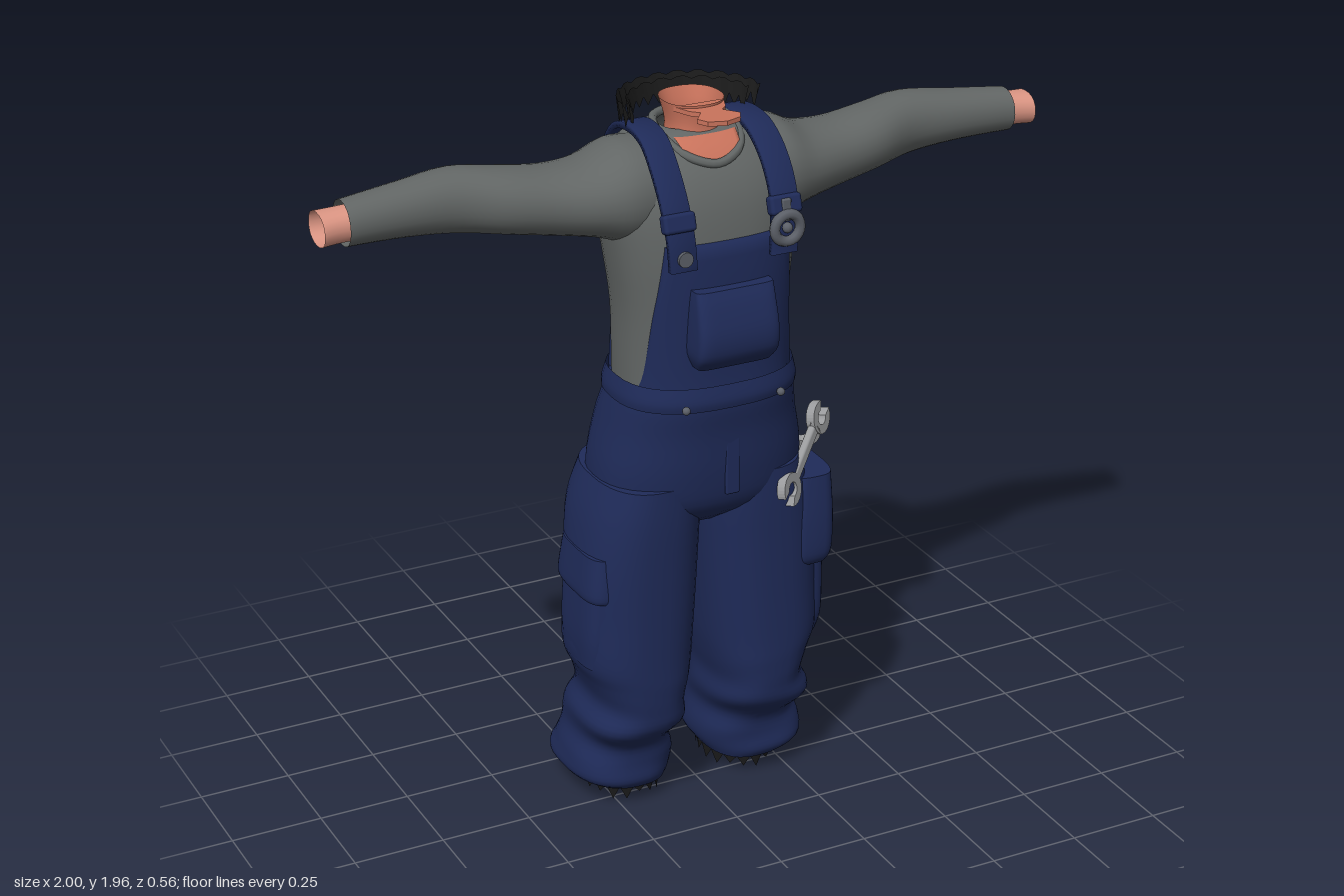
import * as THREE from 'three';
import { RoundedBoxGeometry } from 'three/addons/geometries/RoundedBoxGeometry.js';

const mat = (name, color) => {
  const m = new THREE.MeshStandardMaterial({ color, side: THREE.DoubleSide });
  m.name = name;
  return m;
};

export function createModel() {
  const root = new THREE.Group();
  const navy = mat('navy denim', 0x1f2b59), shirt = mat('grey shirt', 0x626665), skin = mat('skin', 0xdb9583),
    neckSkin = mat('neck skin', 0xc9735c), black = mat('black', 0x1b1b1b), steel = mat('steel', 0x9a9b9d),
    metal = mat('dull metal', 0x5c6068);

  const add = (name, geo, material, parent = root, pos = [0, 0, 0]) => {
    const m = new THREE.Mesh(geo, material);
    m.name = name;
    m.position.set(...pos);
    parent.add(m);
    return m;
  };
  let seed = 7;
  const rnd = () => (seed = (seed * 16807) % 2147483647) / 2147483647;
  const sgnPow = (v, e) => Math.sign(v) * Math.abs(v) ** e;

  // Catmull-Rom smoothing of cross-section rows
  const smooth = (rows, k = 4) => {
    const out = [], at = i => rows[Math.min(rows.length - 1, Math.max(0, i))];
    for (let i = 0; i < rows.length - 1; i++) for (let j = 0; j < k; j++) {
      const t = j / k;
      out.push(rows[0].map((_, c) => {
        const [p, a, b, q] = [at(i - 1)[c], at(i)[c], at(i + 1)[c], at(i + 2)[c]];
        return a + 0.5 * t * (b - p + t * (2 * p - 5 * a + 4 * b - q + t * (3 * (a - b) + q - p)));
      }));
    }
    out.push(at(rows.length - 1));
    return out;
  };

  // Skin a list of point loops (or open rows)
  const surface = (rings, closed = true) => {
    const n = rings[0].length, idx = [];
    for (let j = 0; j < rings.length - 1; j++) for (let i = 0; i < (closed ? n : n - 1); i++) {
      const a = j * n + i, b = j * n + (i + 1) % n;
      idx.push(a, a + n, b, b, a + n, b + n);
    }
    const g = new THREE.BufferGeometry();
    g.setAttribute('position', new THREE.Float32BufferAttribute(rings.flat(2), 3));
    g.setIndex(idx);
    g.computeVertexNormals();
    return g;
  };

  // Loft of superellipse sections; row = [position along axis, min1, max1, zBack, zFront]
  const loft = (rows, { axis = 'y', n = 2.3, segs = 40, cap = false, fold = () => 0 } = {}) => {
    const ring = (r, k = 1) => Array.from({ length: segs }, (_, i) => {
      const a = i / segs * Math.PI * 2, f = k * (1 + fold(a, r[0]));
      const [ca, sa] = axis === 'y' ? [Math.cos(a), Math.sin(a)] : [Math.sin(a), Math.cos(a)];
      const u = (r[1] + r[2]) / 2 + (r[2] - r[1]) / 2 * f * sgnPow(ca, 2 / n);
      const z = (r[3] + r[4]) / 2 + (r[4] - r[3]) / 2 * f * sgnPow(sa, 2 / n);
      return axis === 'y' ? [u, r[0], z] : [r[0], u, z];
    });
    const rings = smooth(rows).map(r => ring(r));
    if (cap) {
      const a = rows[0], b = rows[rows.length - 1];
      rings.unshift(ring(a, 0.01), ring(a));
      rings.push(ring(b), ring(b, 0.01));
    }
    return surface(rings);
  };

  // Shirt body
  const torso = [[1.2, -.23, .23, -.14, .19], [1.3, -.23, .23, -.14, .185], [1.45, -.232, .232, -.145, .19],
    [1.6, -.25, .25, -.16, .19], [1.72, -.265, .265, -.175, .175], [1.8, -.25, .25, -.175, .145],
    [1.86, -.2, .2, -.155, .1], [1.892, -.13, .13, -.13, .06], [1.9, -.085, .085, -.11, .04]];
  add('shirtBody', loft(torso, { n: 2.5 }), shirt);
  const fine = smooth(torso);
  const bodyZ = (x, y, side) => {
    let i = 0;
    while (i < fine.length - 2 && fine[i + 1][0] < y) i++;
    const t = THREE.MathUtils.clamp((y - fine[i][0]) / (fine[i + 1][0] - fine[i][0]), 0, 1);
    const r = fine[i].map((v, c) => THREE.MathUtils.lerp(v, fine[i + 1][c], t));
    const h = Math.max(0, 1 - Math.abs(x / r[2]) ** 2.5) ** 0.4;
    return (r[3] + r[4]) / 2 + side * h * (r[4] - r[3]) / 2;
  };

  // Cloth panel lying on the body; row = [y, xMin, xMax], edges tucked inwards
  const panel = (rows, side, off = 0.018) => {
    const us = [0, 0, ...Array.from({ length: 15 }, (_, i) => (i + 1) / 16), 1, 1], R = smooth(rows);
    R.push(R[R.length - 1]);
    return surface(R.map(([y, a, b], j) => us.map((u, i) => {
      const x = a + (b - a) * u, edge = i === 0 || i === us.length - 1 || j === R.length - 1;
      return [x, y, bodyZ(x, y, side) + side * (edge ? -0.005 : off)];
    })), false);
  };
  add('bib', panel([[1.22, -.225, .225], [1.3, -.205, .205], [1.45, -.19, .19], [1.65, -.165, .175]], 1), navy);
  add('neckline', panel([[1.832, -.03, .03], [1.85, -.07, .07], [1.89, -.085, .085]], 1, 0.006), neckSkin);
  add('collar', new THREE.TubeGeometry(new THREE.CatmullRomCurve3([[0, 1.832, .125], [.075, 1.855, .095],
    [.105, 1.895, .0], [.07, 1.905, -.09], [0, 1.905, -.115], [-.07, 1.905, -.09], [-.105, 1.895, 0],
    [-.075, 1.855, .095]].map(p => new THREE.Vector3(...p)), true), 48, .012, 8, true), shirt);

  // Trousers: hips, waistband and fly
  add('hips', loft([[.83, -.16, .16, -.12, .08], [.9, -.275, .275, -.205, .165], [1, -.287, .287, -.215, .19],
    [1.12, -.265, .265, -.205, .2], [1.2, -.248, .248, -.178, .212], [1.25, -.235, .235, -.16, .21]],
    { n: 2.4, cap: true }), navy);
  add('waistband', loft([[1.205, -.25, .25, -.18, .216], [1.23, -.25, .25, -.178, .22], [1.27, -.24, .24, -.165, .212]],
    { n: 2.5 }), navy);
  add('flyFlap', new RoundedBoxGeometry(.04, .24, .012, 2, .005), navy, root, [.01, 1.07, .192]);

  // Torn strip along an arc
  const fringe = (cx, cz, rx, rz, a0, a1, n, y0, y1, drop) => {
    const top = [], low = [];
    for (let i = 0; i <= n; i++) {
      const a = a0 + (a1 - a0) * i / n, d = i % 2 ? drop * (.5 + rnd()) : 0;
      top.push([cx + rx * Math.cos(a), y0 + (i % 3 ? 0 : -.008), cz + rz * Math.sin(a)]);
      low.push([cx + rx * .95 * Math.cos(a), y1 - d, cz + rz * .95 * Math.sin(a)]);
    }
    return surface([low, top], false);
  };

  const strapPath = [[.14, 1.6, .212], [.145, 1.68, .208], [.15, 1.76, .185], [.15, 1.84, .13], [.145, 1.893, .06],
    [.14, 1.905, -.03], [.135, 1.88, -.12], [.13, 1.8, -.188], [.115, 1.68, -.195], [.1, 1.58, -.18]];
  for (const s of [1, -1]) {
    const side = new THREE.Group();
    side.name = s > 0 ? 'leftSide' : 'rightSide';
    side.scale.x = s;
    root.add(side);

    // Sleeve and hollow wrist
    add('sleeve', loft([[.14, 1.62, 1.885, -.16, .13], [.22, 1.625, 1.885, -.165, .135], [.3, 1.65, 1.85, -.155, .115],
      [.4, 1.667, 1.842, -.14, .085], [.52, 1.685, 1.855, -.14, .06], [.64, 1.7, 1.866, -.145, .02],
      [.78, 1.715, 1.852, -.125, .015], [.935, 1.722, 1.838, -.1, .02]], { axis: 'x', n: 2.1, segs: 28 }), shirt, side);
    add('wrist', loft([[.88, 1.735, 1.825, -.09, .012], [.95, 1.735, 1.822, -.09, .012], [1, 1.732, 1.82, -.095, .018]],
      { axis: 'x', n: 2.2, segs: 20 }), skin, side);

    // Trouser leg with bunched hem
    const leg = new THREE.Group();
    leg.name = 'leg';
    leg.position.x = s > 0 ? -.008 : .015;
    side.add(leg);
    add('trouserLeg', loft([[.06, .065, .3, -.22, .06], [.09, .05, .343, -.275, .08], [.14, .048, .335, -.265, .08],
      [.2, .058, .315, -.245, .085], [.27, .045, .325, -.225, .155], [.33, .048, .298, -.205, .162], [.4, .035, .315, -.198, .168],
      [.47, .025, .342, -.195, .168], [.6, .015, .34, -.192, .168], [.75, .006, .335, -.195, .17], [.88, 0, .315, -.215, .172],
      [.98, .01, .28, -.2, .17]], { n: 2.5, cap: true,
      fold: (a, y) => y < .4 ? .018 * Math.sin(3 * a + y * 45) * Math.min(1, (.4 - y) * 8) : 0 }), navy, leg);
    add('hemTatter', fringe(.175, -.085, .108, .135, 0, Math.PI * 2, 36, .075, .05, .028), black, leg);

    // Back panel half with V notch
    add('backPanel', panel([[1.22, 0, .215], [1.3, 0, .2], [1.45, 0, .175], [1.58, 0, .165], [1.66, .03, .165],
      [1.75, .07, .17], [1.83, .1, .17]], -1), navy, side);

    // Shoulder strap with slide loops
    const pts = strapPath.map(p => new THREE.Vector3(...p));
    const curve = new THREE.CatmullRomCurve3(pts), rings = [];
    for (let i = 0; i <= 40; i++) {
      const p = curve.getPoint(i / 40), t = curve.getTangent(i / 40), l = Math.hypot(t.y, t.z);
      const ny = -t.z / l * .009, nz = t.y / l * .009;
      rings.push([[-.036, 1], [.036, 1], [.036, -1], [-.036, -1]].map(([x, k]) => [p.x + x, p.y + k * ny, p.z + k * nz]));
    }
    add('strap', surface(rings), navy, side);
    add('frontLoop', new RoundedBoxGeometry(.088, .05, .035, 2, .01), navy, side, [.148, 1.725, .2]).rotation.x = -.3;
    add('backLoop', new RoundedBoxGeometry(.095, .07, .035, 2, .012), navy, side, [.12, 1.7, -.2]);
    add('waistButton', new THREE.SphereGeometry(.011, 10, 8), metal, side, [.135, 1.222, .218]);
  }

  // Strap fasteners: large ring on the left, small button on the right
  const ring = new THREE.Group();
  ring.name = 'strapBuckle';
  ring.position.set(.145, 1.67, .224);
  root.add(ring);
  add('buckleRing', new THREE.TorusGeometry(.036, .014, 8, 24), metal, ring);
  add('buckleStud', new THREE.SphereGeometry(.014, 10, 8), metal, ring);
  add('buckleTab', new RoundedBoxGeometry(.025, .06, .012, 2, .004), metal, ring, [0, .045, -.008]);
  add('strapButton', new THREE.CylinderGeometry(.02, .02, .015, 16), metal, root, [-.14, 1.635, .222]).rotation.x = Math.PI / 2;

  // Pockets
  add('bibPocket', loft([[1.33, -.105, .1, .17, .235], [1.37, -.12, .108, .16, .272], [1.43, -.12, .108, .16, .278],
    [1.5, -.116, .106, .16, .258], [1.54, -.112, .106, .17, .238]], { n: 6, cap: true }), navy);
  add('thighPocket', loft([[.665, .2, .342, -.165, .15], [.7, .2, .352, -.17, .165], [.8, .2, .356, -.165, .163],
    [.92, .22, .35, -.14, .15]], { n: 3.6, cap: true }), navy);
  add('thighPouch', loft([[.43, .2, .334, -.12, .1], [.5, .2, .344, -.13, .12], [.67, .2, .345, -.13, .12]],
    { n: 3.5, cap: true }), navy);
  add('rightPocketFlap', loft([[.665, -.358, -.22, -.13, .12], [.69, -.362, -.22, -.135, .125], [.79, -.35, -.22, -.12, .115]],
    { n: 3.6, cap: true }), navy);
  add('rightPouch', loft([[.46, -.355, -.22, -.11, .1], [.55, -.36, -.22, -.12, .11], [.68, -.353, -.22, -.12, .11]],
    { n: 3.5, cap: true }), navy);
  add('rearTab', new RoundedBoxGeometry(.02, .045, .012, 2, .004), black, root, [-.15, .97, -.213]);
  add('rearRivet', new THREE.SphereGeometry(.018, 10, 8), steel, root, [.2, .95, -.185]);

  // Open-ended spanners
  const spanner = (name, from, to, heads) => {
    const g = new THREE.Group(), a = new THREE.Vector3(...from), b = new THREE.Vector3(...to), L = a.distanceTo(b);
    g.name = name;
    g.position.copy(a).lerp(b, .5);
    g.quaternion.setFromUnitVectors(new THREE.Vector3(1, 0, 0), b.clone().sub(a).normalize());
    root.add(g);
    add('shank', new RoundedBoxGeometry(L - .04, .032, .022, 2, .008), steel, g);
    const jaw = new THREE.Shape();
    jaw.absarc(0, 0, .045, .55, Math.PI * 2 - .55);
    jaw.absarc(0, 0, .02, Math.PI * 2 - .9, .9, true);
    const geo = new THREE.ExtrudeGeometry(jaw, { depth: .024, bevelEnabled: false, curveSegments: 14 }).translate(0, 0, -.012);
    for (const k of heads) add('jaw', geo, steel, g, [k * L / 2, 0, 0]).rotation.z = k > 0 ? .25 : Math.PI + .25;
  };
  spanner('longSpanner', [.19, .912, .17], [.345, 1.035, .04], [1, -1]);
  spanner('pocketSpanner', [.305, .84, -.01], [.3, 1.0, .04], [1]);

  // Neck, jaw flap and ragged hair
  add('neck', loft([[1.82, -.085, .085, -.1, .075], [1.9, -.068, .068, -.085, .055], [1.965, -.08, .08, -.105, .06]]), neckSkin);
  const flap = new THREE.Shape([[-.07, .02], [-.05, .07], [-.03, .09], [-.06, .13], [-.045, .16], [0, .175], [.045, .16],
    [.06, .13], [.03, .09], [.05, .07], [.07, .02]].map(p => new THREE.Vector2(...p)));
  add('jawFlap', new THREE.ExtrudeGeometry(flap, { depth: .012, bevelEnabled: false }).rotateX(Math.PI / 2),
    neckSkin, root, [0, 1.958, 0]);
  add('hairFringe', fringe(0, -.025, .19, .175, Math.PI * .97, Math.PI * 2.03, 34, 1.972, 1.94, .035), black);
  add('innerHair', fringe(0, -.025, .165, .15, Math.PI, Math.PI * 2, 28, 1.965, 1.93, .03), black);
  return root;
}
